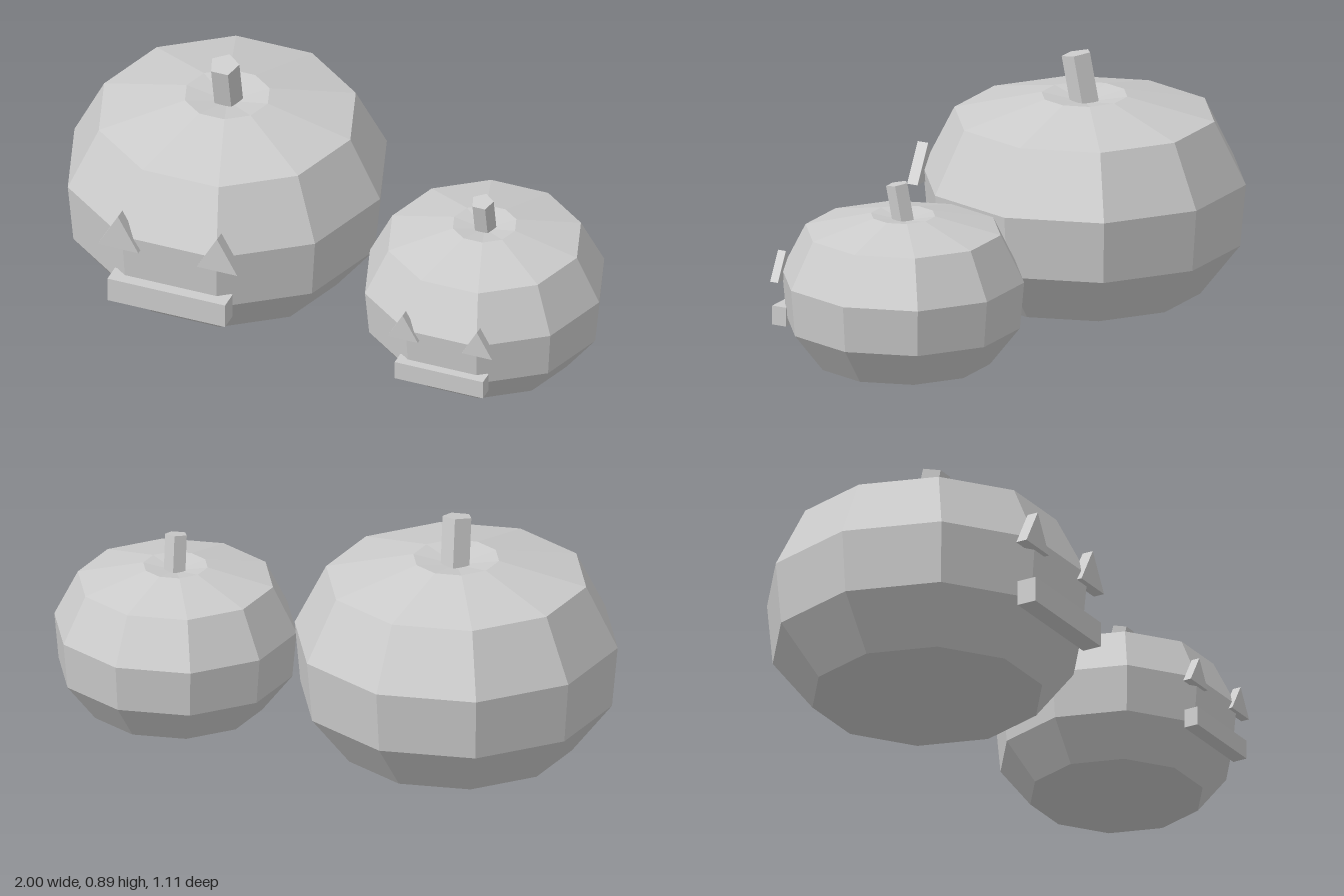
import * as THREE from 'three';

const grey = new THREE.MeshStandardMaterial({ color: 0xcccccc, flatShading: true });
grey.name = 'plain grey';

function part(name, geometry, parent) {
  const mesh = new THREE.Mesh(geometry, grey);
  mesh.name = name;
  parent.add(mesh);
  return mesh;
}

function createPumpkin(name) {
  const pumpkin = new THREE.Group();
  pumpkin.name = name;

  // Ten-sided body with a shallow dimple at the top
  const profile = [
    [0, 0], [0.405, 0.04], [0.545, 0.22], [0.565, 0.44],
    [0.455, 0.66], [0.15, 0.732], [0, 0.705],
  ].map(([r, y]) => new THREE.Vector2(r, y));
  part('body', new THREE.LatheGeometry(profile, 10, Math.PI / 2), pumpkin);

  // Five-sided stem leaning forward, with its foot sunk into the dimple
  const stemGeometry = new THREE.CylinderGeometry(0.053, 0.053, 0.2, 5, 1, false, Math.PI);
  stemGeometry.translate(0, -0.1, 0);
  const stem = part('stem', stemGeometry, pumpkin);
  stem.position.set(0, 0.875, 0.03);
  stem.rotation.x = 0.2;

  // Triangular eyes
  const triangle = new THREE.Shape([
    new THREE.Vector2(-0.075, 0.397),
    new THREE.Vector2(0.075, 0.397),
    new THREE.Vector2(0, 0.53),
  ]);
  for (const side of [-1, 1]) {
    const eye = part(
      side > 0 ? 'leftEye' : 'rightEye',
      new THREE.ExtrudeGeometry(triangle, { depth: 0.041, bevelEnabled: false }),
      pumpkin,
    );
    eye.position.set(side * 0.183, 0, 0.512);
  }

  // Straight bar mouth
  const mouth = part('mouth', new THREE.BoxGeometry(0.435, 0.09, 0.071), pumpkin);
  mouth.position.set(0, 0.225, 0.529);

  return pumpkin;
}

export function createModel() {
  const model = new THREE.Group();
  model.name = 'pumpkins';

  const large = createPumpkin('largePumpkin');
  large.position.set(-0.435, 0, -0.018);

  const small = createPumpkin('smallPumpkin');
  small.scale.setScalar(0.75);
  small.position.set(0.576, 0, 0.131);

  model.add(large, small);
  return model;
}
